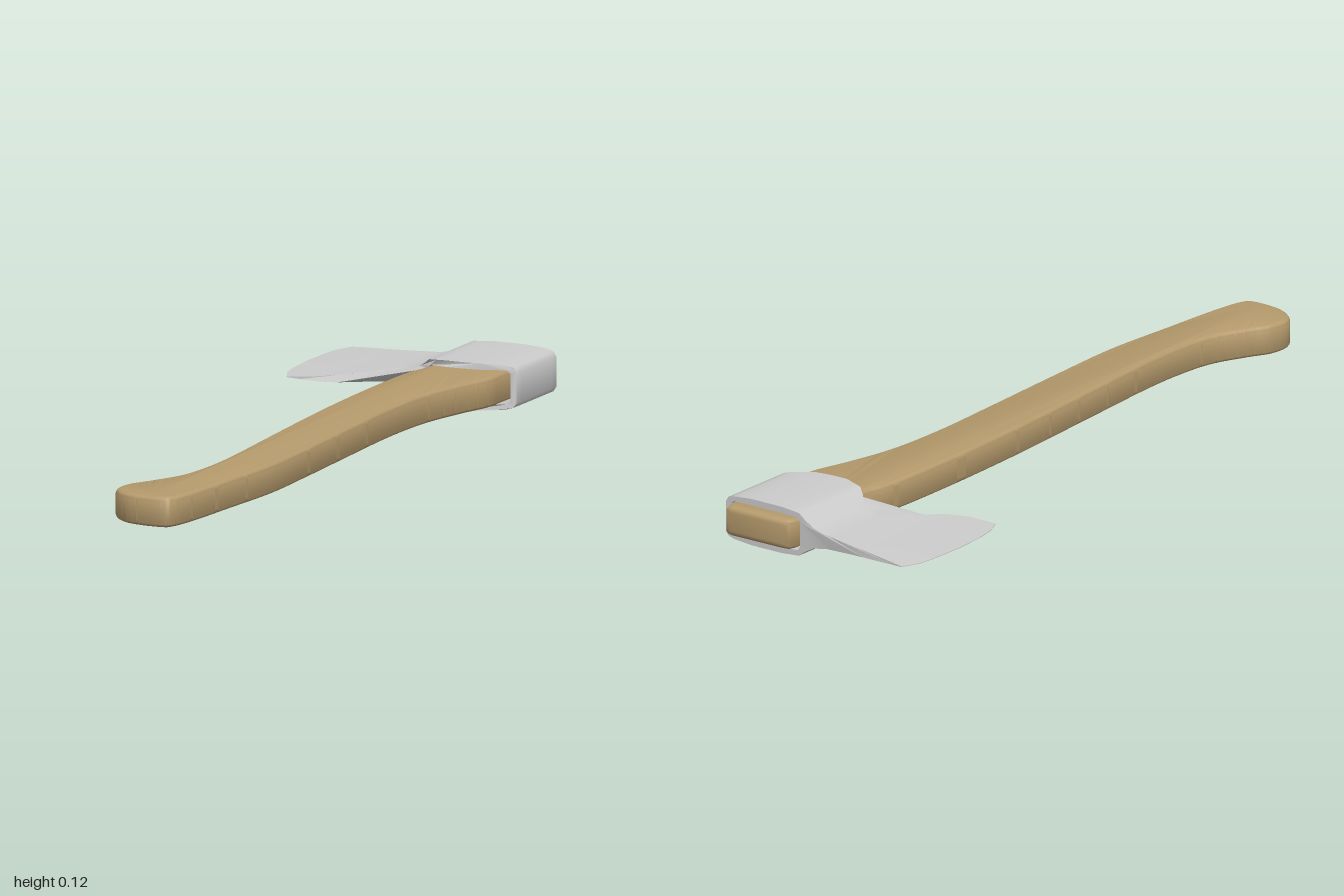
import * as THREE from 'three';
import { toCreasedNormals } from 'three/addons/utils/BufferGeometryUtils.js';

const MID = 0.0575; // height of the symmetry plane
const v2 = ([x, y]) => new THREE.Vector2(x, y);

// Linear interpolation in a list of [key, value] pairs
function lookup(table, k) {
  if (k <= table[0][0]) return table[0][1];
  for (let i = 1; i < table.length; i++) {
    const [a, va] = table[i - 1], [b, vb] = table[i];
    if (k <= b) return va + (vb - va) * (k - a) / (b - a);
  }
  return table[table.length - 1][1];
}

// Curved wooden handle: [x, z] outline, extruded upwards with rounded edges
function makeHandle(material) {
  const outline = [
    [0.068, -0.955], [0.066, -0.71], [0.05, -0.6], [0.048, -0.4], [0.055, -0.18], [0.066, 0],
    [0.087, 0.27], [0.103, 0.48], [0.105, 0.61], [0.093, 0.72], [0.056, 0.81], [0.026, 0.87],
    [0.026, 0.935], [0.08, 0.983], [0.167, 0.994], [0.198, 0.97], [0.214, 0.875], [0.225, 0.717],
    [0.238, 0.505], [0.23, 0.29], [0.214, 0], [0.204, -0.21], [0.209, -0.39], [0.235, -0.53],
    [0.262, -0.63], [0.265, -0.71], [0.27, -0.955],
  ].map(([x, z]) => v2([x, -z]));
  const shape = new THREE.Shape();
  shape.moveTo(outline[0].x, outline[0].y);
  shape.splineThru(outline.slice(1));
  shape.lineTo(0.264, 0.973);
  shape.lineTo(0.25, 0.977);
  shape.lineTo(0.09, 0.981);
  shape.lineTo(0.075, 0.976);
  shape.closePath();
  const bevel = 0.014, thickness = 0.074;
  const geo = new THREE.ExtrudeGeometry(shape, {
    depth: thickness - 2 * bevel, curveSegments: 80, bevelEnabled: true,
    bevelThickness: bevel, bevelSize: bevel, bevelOffset: -bevel, bevelSegments: 4,
  });
  geo.rotateX(-Math.PI / 2);
  geo.translate(0, MID + 0.002 - thickness / 2 + bevel, 0);
  const mesh = new THREE.Mesh(toCreasedNormals(geo, 0.7), material);
  mesh.name = 'handle';
  return mesh;
}

// Steel head: wedge section with an eye hole, stretched between two edge curves
function makeHead(material) {
  const half = [ // x, half thickness
    [-0.296, 0.0008], [-0.2, 0.006], [-0.12, 0.010], [-0.02, 0.017], [0.025, 0.026],
    [0.048, 0.039], [0.068, 0.053], [0.12, 0.0575], [0.21, 0.0575], [0.265, 0.053],
    [0.282, 0.048], [0.29, 0.036],
  ];
  const back = [ // x, z of the far edge
    [-0.296, -1], [-0.13, -0.975], [0, -0.955], [0.08, -0.95], [0.29, -0.94],
  ];
  const front = [ // x, z of the near edge, with the curved beard
    [-0.296, -0.612], [-0.193, -0.62], [-0.14, -0.643], [-0.077, -0.706], [-0.035, -0.748],
    [0, -0.757], [0.024, -0.75], [0.06, -0.71], [0.12, -0.69], [0.2, -0.688],
    [0.26, -0.717], [0.29, -0.72],
  ];
  const bow = [ // rounding of the cutting edge along its length
    [0, 0.026], [0.125, 0.006], [0.25, 0.002], [0.5, 0], [0.75, 0.008], [0.875, 0.017], [1, 0.038],
  ];

  // Closed section from sampled stations, mirrored about the middle plane
  const stations = [-0.296, -0.25, -0.2, -0.165, -0.14, -0.11, -0.077, -0.055, -0.035, -0.018,
    0, 0.024, 0.048, 0.068, 0.09, 0.12, 0.165, 0.21, 0.24, 0.265, 0.282, 0.29];
  const lower = stations.map((x) => v2([x, -lookup(half, x)]));
  const upper = stations.map((x) => v2([x, lookup(half, x)])).reverse();
  const section = new THREE.Shape([...lower, ...upper]);

  // Eye for the handle
  const eye = [[0.064, 0.03], [0.072, 0.04], [0.12, 0.042], [0.165, 0.042], [0.21, 0.042],
    [0.265, 0.041], [0.275, 0.032]];
  section.holes.push(new THREE.Path([
    ...eye.map(v2), ...eye.map(([x, y]) => v2([x, -y])).reverse(),
  ]));

  const geo = new THREE.ExtrudeGeometry(section, { depth: 1, steps: 8, bevelEnabled: false });
  const p = geo.attributes.position;
  for (let i = 0; i < p.count; i++) {
    const x = p.getX(i), t = p.getZ(i);
    const edge = THREE.MathUtils.clamp((-0.14 - x) / 0.156, 0, 1);
    p.setXYZ(i, x + edge * lookup(bow, t), p.getY(i) + MID,
      THREE.MathUtils.lerp(lookup(back, x), lookup(front, x), t));
  }
  const mesh = new THREE.Mesh(toCreasedNormals(geo, 0.75), material);
  mesh.name = 'axeHead';
  return mesh;
}

export function createModel() {
  const group = new THREE.Group();
  group.name = 'axe';
  const wood = new THREE.MeshStandardMaterial({ color: 0xb59a6c });
  const steel = new THREE.MeshStandardMaterial({ color: 0xcccccc });
  group.add(makeHandle(wood), makeHead(steel));
  return group;
}
